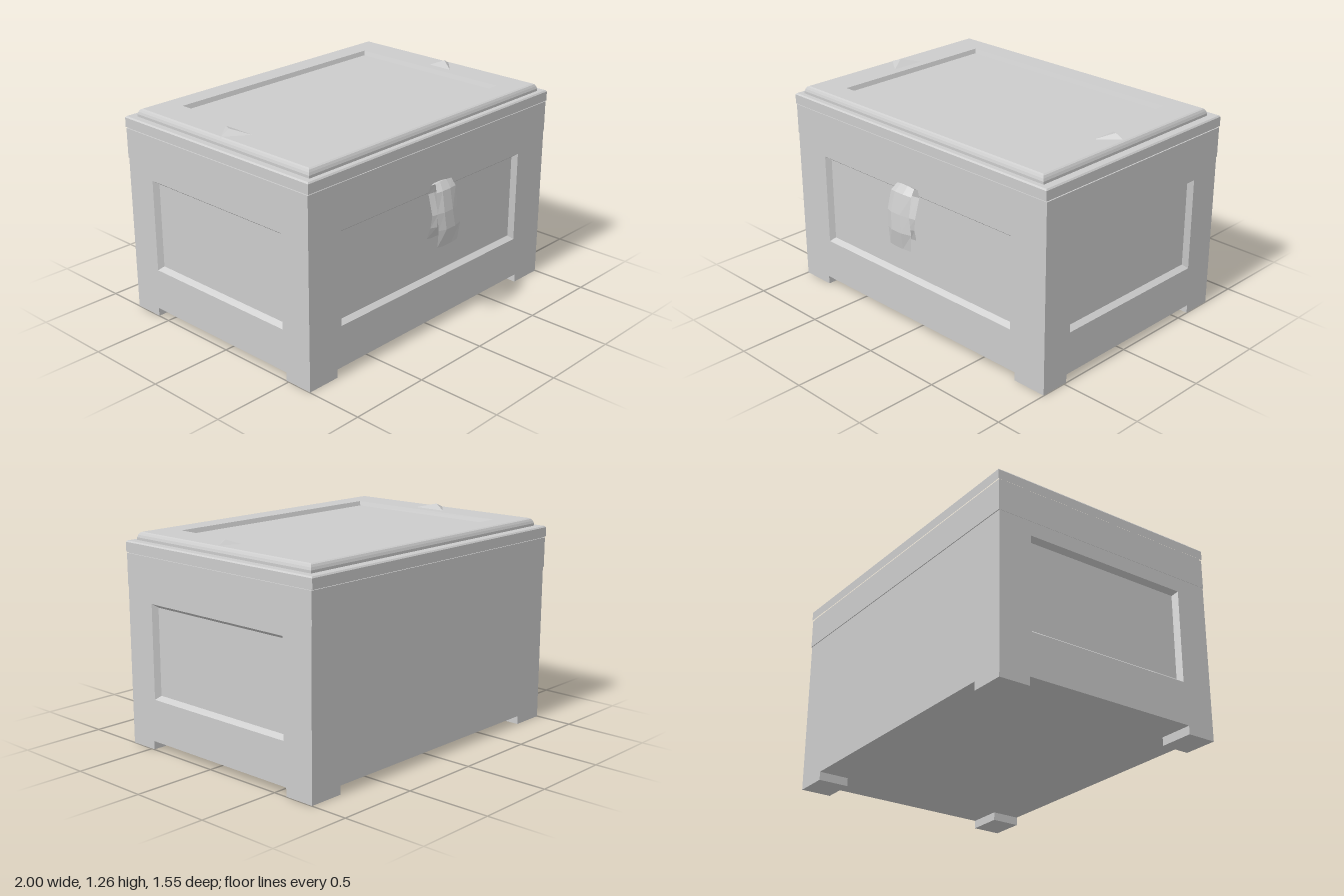
import * as THREE from 'three';

const grey = new THREE.MeshStandardMaterial({ color: 0xcccccc });
grey.name = 'plain grey';

// Flat-shaded geometry from a list of quads or triangles (counter-clockwise corners)
function faceted(faces) {
  const pos = [];
  for (const f of faces)
    for (let i = 1; i < f.length - 1; i++) pos.push(...f[0], ...f[i], ...f[i + 1]);
  const g = new THREE.BufferGeometry();
  g.setAttribute('position', new THREE.Float32BufferAttribute(pos, 3));
  g.computeVertexNormals();
  return g;
}

// Nested rectangles [x0, x1, y0, y1, z] joined by quads, last one capped, facing +z
function rectRings(list) {
  const rings = list.map(([x0, x1, y0, y1, z]) => [[x0, y0, z], [x1, y0, z], [x1, y1, z], [x0, y1, z]]);
  const faces = [rings[rings.length - 1]];
  for (let i = 0; i < rings.length - 1; i++)
    for (let j = 0; j < 4; j++) {
      const k = (j + 1) % 4;
      faces.push([rings[i][j], rings[i][k], rings[i + 1][k], rings[i + 1][j]]);
    }
  return faceted(faces);
}

const inset = ([x0, x1, y0, y1], d, z) => [x0 + d, x1 - d, y0 + d, y1 - d, z];

// Framed wall with a bevelled sunken panel
const panelWall = (outer, hole, z, bevel = 0.022, depth = 0.03) =>
  rectRings([[...outer, z], [...hole, z], inset(hole, bevel, z - depth)]);

export function createModel() {
  const model = new THREE.Group();
  model.name = 'chest';
  const add = (name, geo) => {
    const m = new THREE.Mesh(geo, grey);
    m.name = name;
    model.add(m);
    return m;
  };
  const box = (name, x0, x1, y0, y1, z0, z1) =>
    add(name, new THREE.BoxGeometry(x1 - x0, y1 - y0, z1 - z0)
      .translate((x0 + x1) / 2, (y0 + y1) / 2, (z0 + z1) / 2));

  // Body walls
  const X = 0.998, zF = 0.658, zB = -0.77, yB = 0.05, yT = 0.94;
  add('frontWall', panelWall([-X, X, yB, yT], [-0.76, 0.75, 0.3, 0.852], zF));
  add('rightWall', panelWall([-zF, -zB, yB, yT], [-0.46, 0.57, 0.3, 0.855], X).rotateY(Math.PI / 2));
  add('leftWall', panelWall([zB, zF, yB, yT], [-0.57, 0.46, 0.3, 0.855], X).rotateY(-Math.PI / 2));
  add('backWall', rectRings([[-X, X, yB, yT, -zB]]).rotateY(Math.PI));
  add('bottom', rectRings([[-X, X, zB, zF, -yB]]).rotateX(Math.PI / 2));

  // Corner feet
  for (const s of [-1, 1]) {
    const [x0, x1] = s < 0 ? [-X, -0.79] : [0.785, X];
    box('frontFoot', x0, x1, 0, yB + 0.002, 0.48, zF);
    box('backFoot', x0, x1, 0, yB + 0.002, zB, -0.585);
  }

  // Lid band, seam and rim
  box('lidBand', -0.9995, 0.9995, yT, 1.118, -0.775, 0.66);
  box('lidSeam', -0.992, 0.992, 1.11, 1.13, -0.768, 0.653);
  const rim = [-1, 1, -0.665, 0.78];
  add('lidRim', rectRings([[...rim, 1.124], [...rim, 1.18], inset(rim, 0.007, 1.188)]).rotateX(-Math.PI / 2));

  // Raised lid slab with rounded edge and sunken top panel
  const slab = [-0.957, 0.948, -0.63, 0.722];
  const hole = [-0.75, 0.75, -0.48, 0.575];
  add('lidSlab', rectRings([
    [...slab, 1.187], inset(slab, 0, 1.203), inset(slab, 0.005, 1.217), inset(slab, 0.012, 1.229),
    inset(slab, 0.022, 1.234), [...hole, 1.234], inset(hole, 0.01, 1.208),
  ]).rotateX(-Math.PI / 2));

  // Pointed studs on the lid
  const stud = (name, tip, a, b, apex) => {
    const base = [tip, a, b].map(([x, z]) => [x, 1.232, z]);
    add(name, faceted(base.map((p, i) => [p, base[(i + 1) % 3], apex])));
  };
  stud('leftSideStud', [0.92, -0.02], [0.8, -0.08], [0.8, 0.09], [0.87, 1.26, -0.015]);
  stud('rightSideStud', [-0.945, -0.04], [-0.8, 0.065], [-0.8, -0.16], [-0.872, 1.26, -0.05]);

  // Hooked latch: faceted strap along a bent path [y, z, xLeft, xRight, thickness]
  const path = [
    [0.59, 0.681, -0.1, 0.05, 0.012], [0.66, 0.701, -0.095, 0.06, 0.026],
    [0.73, 0.704, -0.085, 0.07, 0.02], [0.85, 0.668, -0.08, 0.07, 0.018],
    [0.9, 0.678, -0.075, 0.07, 0.016], [0.914, 0.704, -0.065, 0.07, 0.014],
    [0.875, 0.732, -0.088, 0.075, 0.02], [0.76, 0.752, -0.1, 0.075, 0.03],
    [0.66, 0.757, -0.092, 0.095, 0.036], [0.555, 0.749, -0.09, 0.082, 0.014],
  ];
  const sections = path.map(([y, z, xl, xr, t], i) => {
    const p = path[Math.max(i - 1, 0)], q = path[Math.min(i + 1, path.length - 1)];
    const len = Math.hypot(q[0] - p[0], q[1] - p[1]);
    const ny = (q[1] - p[1]) / len, nz = -(q[0] - p[0]) / len;
    const at = (x, d) => [x, y + ny * d * t, z + nz * d * t];
    const w = xr - xl;
    return [at(xl, 0), at(xl + w * 0.25, -0.5), at(xr - w * 0.25, -0.5),
      at(xr, 0), at(xr - w * 0.35, 0.5), at(xl + w * 0.25, 0.5)];
  });
  const faces = [sections[0].slice(), sections[sections.length - 1].slice().reverse()];
  for (let i = 0; i < sections.length - 1; i++)
    for (let j = 0; j < 6; j++) {
      const k = (j + 1) % 6, a = sections[i], b = sections[i + 1];
      faces.push([a[j], b[j], b[k]], [a[j], b[k], a[k]]);
    }
  // Winding follows the path direction, so flip if the strap is inside out
  const signed = faces.reduce((s, f) => {
    for (let i = 1; i < f.length - 1; i++) {
      const [a, b, c] = [f[0], f[i], f[i + 1]].map((v) => new THREE.Vector3(...v));
      s += a.dot(b.cross(c));
    }
    return s;
  }, 0);
  add('latch', faceted(signed < 0 ? faces.map((f) => f.slice().reverse()) : faces));

  return model;
}
